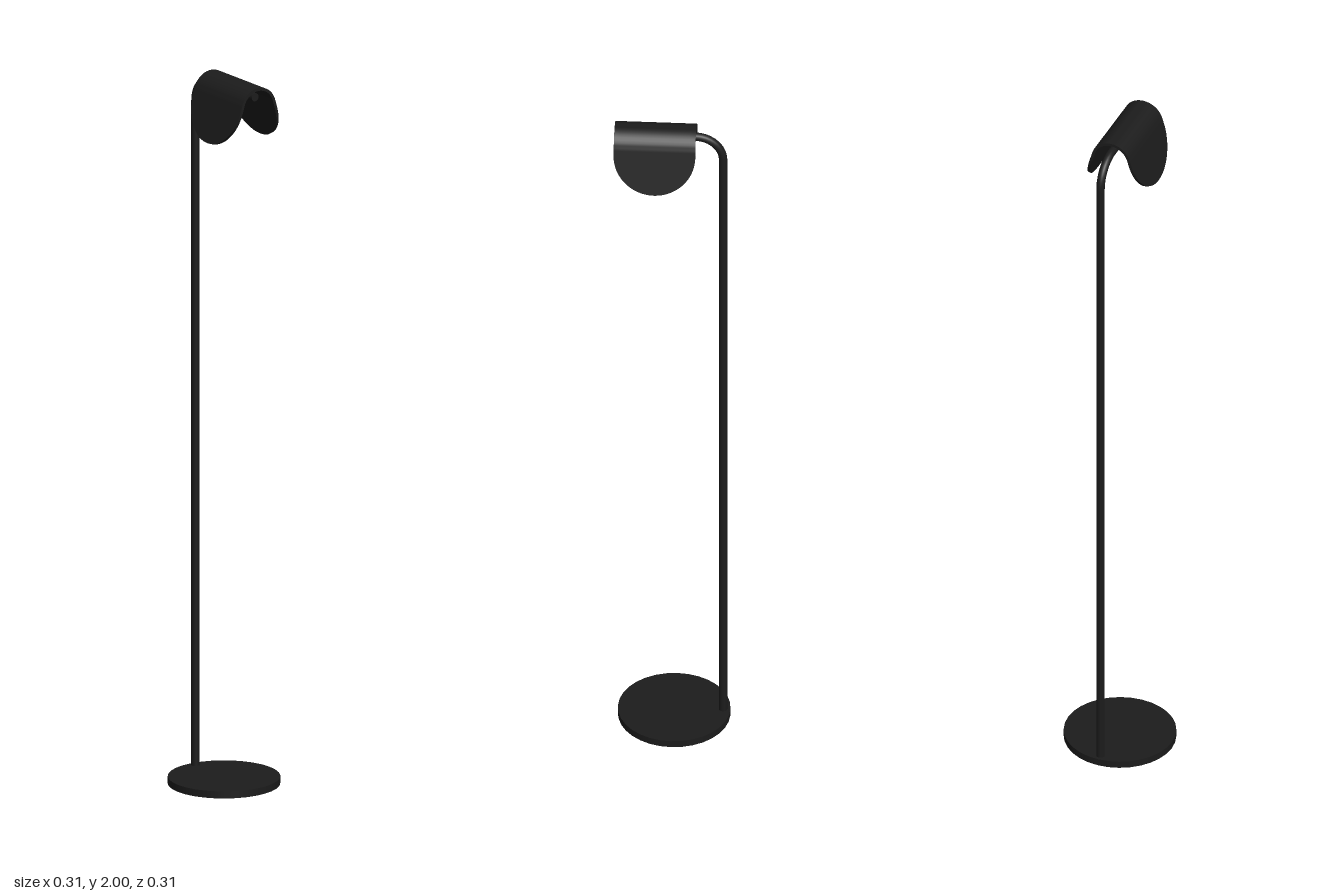
import * as THREE from 'three';
import { toCreasedNormals } from 'three/addons/utils/BufferGeometryUtils.js';

const black = new THREE.MeshStandardMaterial({ color: 0x1c1c1c });

function part(name, geometry) {
  const mesh = new THREE.Mesh(geometry, black);
  mesh.name = name;
  return mesh;
}

// Sheet folded over the arm: an arc on top, two splayed flaps with rounded ends
function shadeGeometry() {
  const R = 0.057, topY = 2, thick = 0.008;
  const splay = 0.295, leg = 0.131, round = 0.112;
  const halfDepth = 0.111, midZ = 0.0455;
  const arc = R * (Math.PI / 2 - splay), total = arc + leg;
  const geo = new THREE.BoxGeometry(2, 1, 2, 80, 1, 12);
  const p = geo.attributes.position;
  for (let i = 0; i < p.count; i++) {
    const u = p.getX(i), side = Math.sign(u);
    // distance from the ridge, with steps closing up toward the flap ends
    const s = total * Math.sin(Math.abs(u) * Math.PI / 2);
    const a = Math.min(s, arc) / R, r = R - thick * (0.5 - p.getY(i));
    const run = Math.max(0, s - arc);
    const x = r * Math.sin(a) + run * Math.sin(splay);
    const y = topY - R + r * Math.cos(a) - run * Math.cos(splay);
    const e = Math.max(0, (s - (total - round)) / round);
    const half = halfDepth * Math.max(0.03, Math.sqrt(Math.max(0, 1 - e * e)));
    p.setXYZ(i, side * x, y, midZ + p.getZ(i) * half);
  }
  return toCreasedNormals(geo, 0.7);
}

export function createModel() {
  const lamp = new THREE.Group();
  lamp.name = 'floorLamp';

  // Flat round foot
  const base = part('base', toCreasedNormals(new THREE.CylinderGeometry(0.153, 0.153, 0.02, 32), 0.7));
  base.position.set(0, 0.01, -0.005);
  lamp.add(base);

  // Pole bending forward into the arm under the shade
  const poleZ = -0.138, armY = 1.97, bend = 0.075, armEnd = 0.14, radius = 0.0115;
  const v = (y, z) => new THREE.Vector3(0, y, z);
  const k = bend * 0.448;
  const path = new THREE.CurvePath();
  path.add(new THREE.LineCurve3(v(0.01, poleZ), v(armY - bend, poleZ)));
  path.add(new THREE.CubicBezierCurve3(v(armY - bend, poleZ), v(armY - k, poleZ),
    v(armY, poleZ + k), v(armY, poleZ + bend)));
  path.add(new THREE.LineCurve3(v(armY, poleZ + bend), v(armY, armEnd)));
  lamp.add(part('pole', new THREE.TubeGeometry(path, 200, radius, 16)));

  // Closed tip of the arm
  const cap = part('armTip', new THREE.CircleGeometry(radius, 16));
  cap.position.set(0, armY, armEnd);
  lamp.add(cap);

  lamp.add(part('shade', shadeGeometry()));
  return lamp;
}
